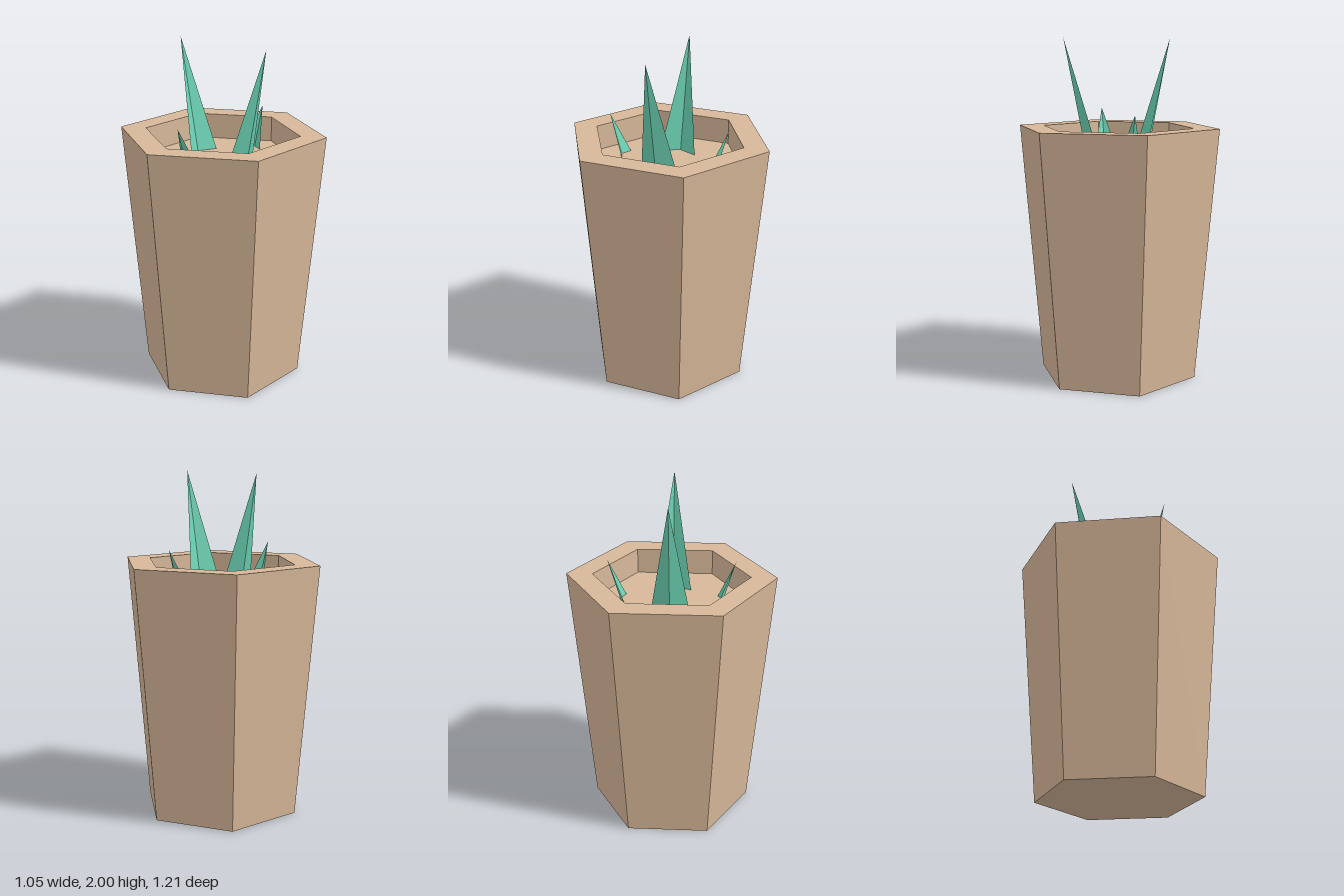
import * as THREE from 'three';

const FLOOR = 1.335; // soil level inside the pot

// Folded leaf pointing along +z: two triangles meeting at an outward ridge
function makeLeaf(name, material, { halfWidth, wing, ridge, tip, tipY }) {
  const geometry = new THREE.BufferGeometry();
  geometry.setAttribute('position', new THREE.Float32BufferAttribute([
    -halfWidth, FLOOR, wing, 0, FLOOR, ridge, 0, tipY, tip,
    0, FLOOR, ridge, halfWidth, FLOOR, wing, 0, tipY, tip,
  ], 3));
  geometry.computeVertexNormals();
  const leaf = new THREE.Mesh(geometry, material);
  leaf.name = name;
  return leaf;
}

export function createModel() {
  const model = new THREE.Group();
  model.name = 'pottedPlant';

  const clay = new THREE.MeshStandardMaterial({ color: 0xd7b899 });
  clay.name = 'clay';
  const green = new THREE.MeshStandardMaterial({ color: 0x6cd3b4, side: THREE.DoubleSide });
  green.name = 'leafGreen';

  // Hexagonal tapered pot with a thick rim and shallow straight-walled recess
  const profile = [
    [0, 0], [0.475, 0], [0.605, 1.485], [0.455, 1.485], [0.455, FLOOR], [0, FLOOR],
  ].map(([r, y]) => new THREE.Vector2(r, y));
  const potGeometry = new THREE.LatheGeometry(profile, 6).toNonIndexed();
  potGeometry.computeVertexNormals();
  const pot = new THREE.Mesh(potGeometry, clay);
  pot.name = 'pot';
  model.add(pot);

  // Small leaves at front and back, tall leaves at the sides
  const small = { halfWidth: 0.065, wing: 0.267, ridge: 0.297, tip: 0.367, tipY: 1.575 };
  const tall = { halfWidth: 0.108, wing: 0.14, ridge: 0.19, tip: 0.32, tipY: 2 };
  [['frontLeaf', small], ['leftLeaf', tall], ['backLeaf', small], ['rightLeaf', tall]]
    .forEach(([name, size], i) => {
      const leaf = makeLeaf(name, green, size);
      leaf.rotation.y = i * Math.PI / 2;
      model.add(leaf);
    });

  return model;
}
